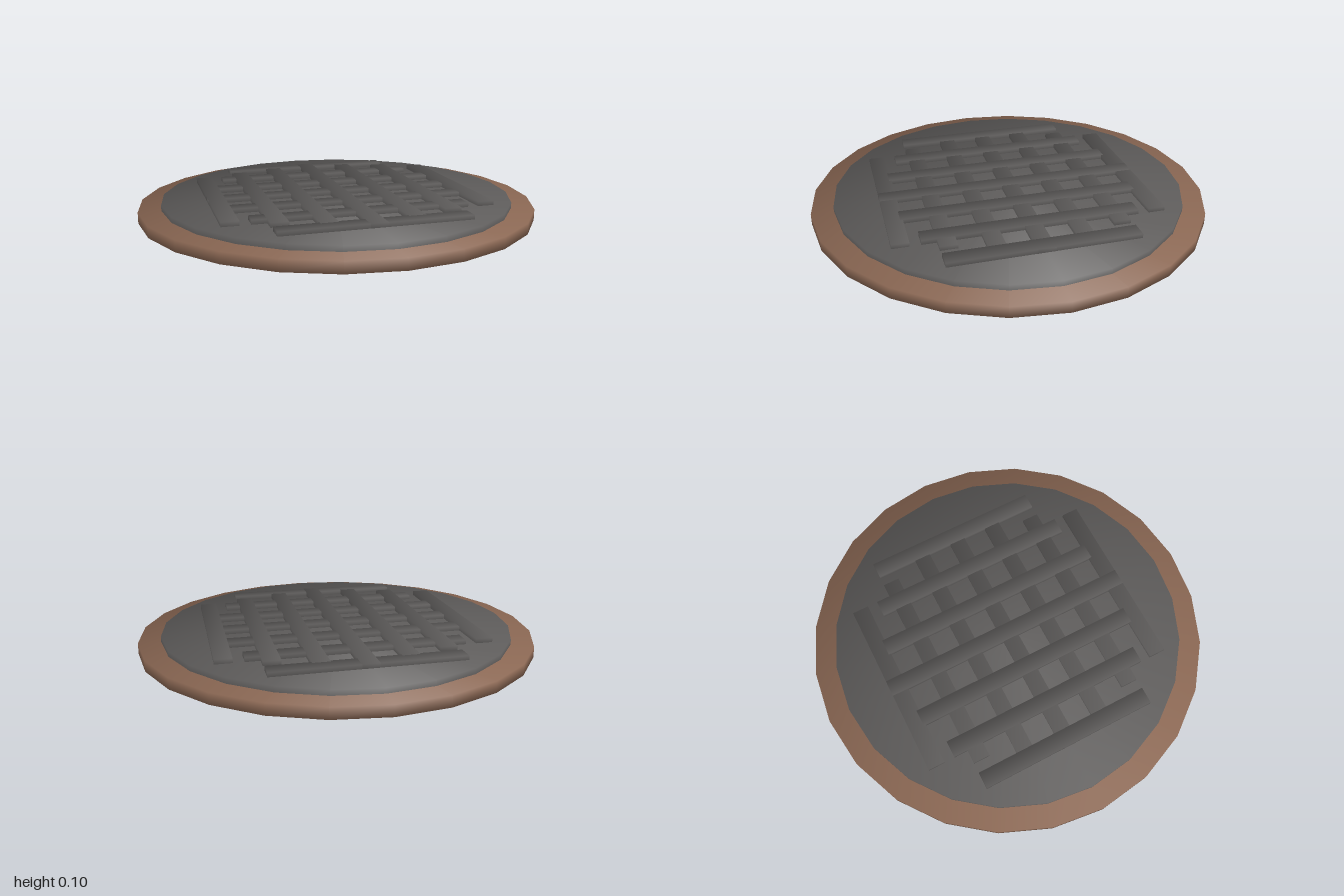
import * as THREE from 'three';

// Soft shading: every corner normal points outward from the part's centre,
// so light rolls smoothly over the edges of the thin plates and bars.
function soften(geometry, rx, ry, rz) {
  const p = geometry.attributes.position;
  const n = geometry.attributes.normal;
  const v = new THREE.Vector3();
  for (let i = 0; i < p.count; i++) {
    v.set(p.getX(i) / rx, p.getY(i) / ry, p.getZ(i) / rz).normalize();
    n.setXYZ(i, v.x, v.y, v.z);
  }
  return geometry;
}

export function createModel() {
  const model = new THREE.Group();
  model.name = 'roundCover';
  const brown = new THREE.MeshStandardMaterial({ color: 0x8a6753 });
  brown.name = 'rusty brown';
  const grey = new THREE.MeshStandardMaterial({ color: 0x5e5c5b });
  grey.name = 'iron grey';

  const add = (name, geometry, material, x, y, z, parent = model) => {
    const mesh = new THREE.Mesh(geometry, material);
    mesh.name = name;
    mesh.position.set(x, y, z);
    parent.add(mesh);
  };

  // 24-sided disc standing on y = bottom
  const disc = (name, radius, bottom, top, material) => {
    const h = top - bottom;
    const g = new THREE.CylinderGeometry(radius, radius, h, 24);
    add(name, soften(g, radius, h / 2, radius), material, 0, bottom + h / 2, 0);
  };
  disc('rim', 1, 0, 0.055, brown);
  disc('plate', 0.888, 0.002, 0.082, grey);

  // Crossed raised bars, shorter towards the edge
  const bars = new THREE.Group();
  bars.name = 'treadBars';
  model.add(bars);
  const halfLengths = [0.665, 0.593, 0.528, 0.457];
  const width = 0.084, spacing = 0.2075, base = 0.06;
  for (let i = -3; i <= 3; i++) {
    const half = halfLengths[Math.abs(i)];
    for (const alongX of [true, false]) {
      const h = (alongX ? 0.103 : 0.104) - base;
      const w = alongX ? half * 2 : width;
      const d = alongX ? width : half * 2;
      const g = soften(new THREE.BoxGeometry(w, h, d), w / 2, h / 2, d / 2);
      add(alongX ? 'crossBar' : 'lengthBar', g, grey,
        alongX ? 0 : i * spacing, base + h / 2, alongX ? i * spacing : 0, bars);
    }
  }
  return model;
}
